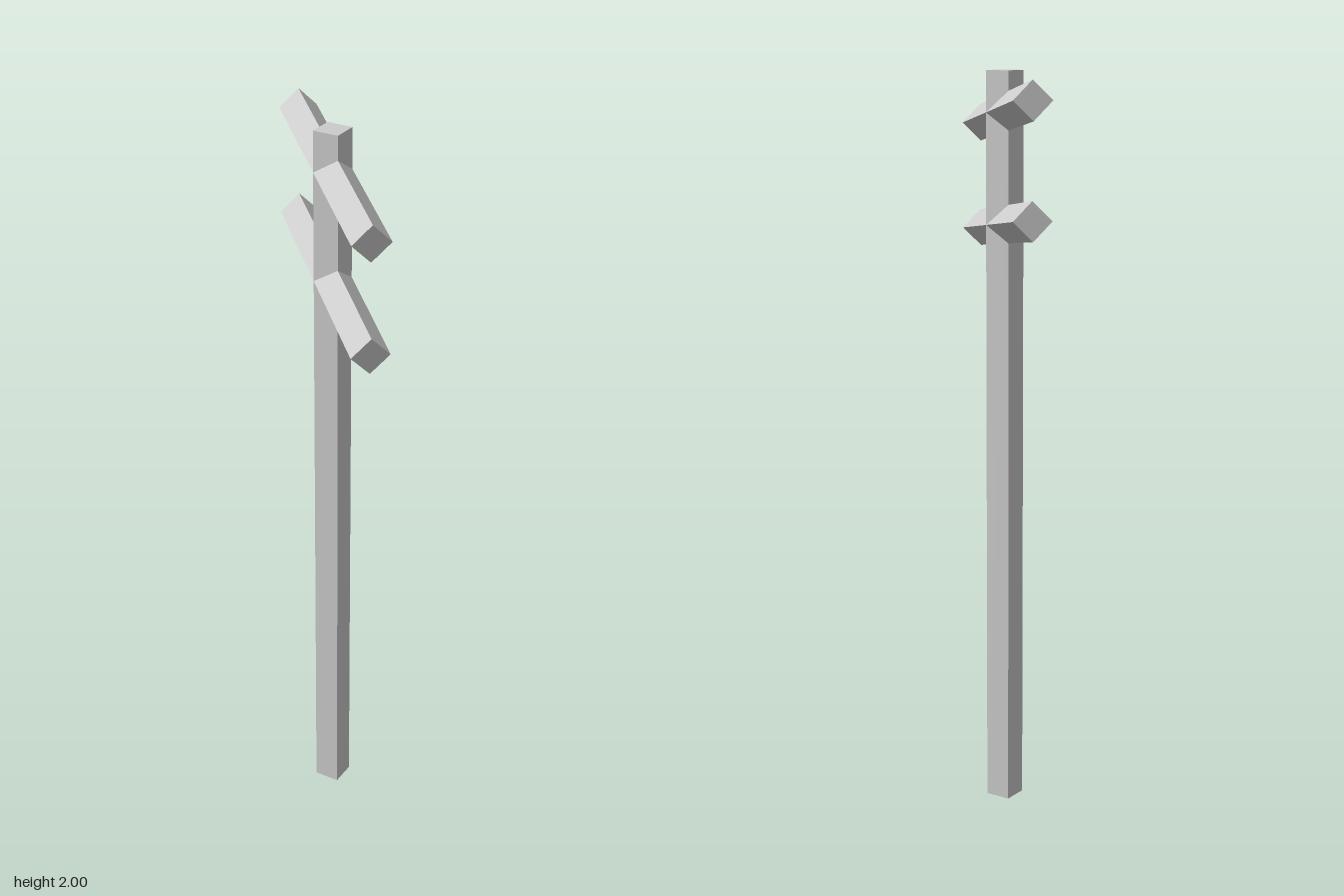
import * as THREE from 'three';

const RADIUS = 0.05;
const ARM_LENGTH = 0.724;
const ARM_TILT = THREE.MathUtils.degToRad(7);

export function createModel() {
  const group = new THREE.Group();
  const material = new THREE.MeshStandardMaterial({ color: 0xcccccc, flatShading: true });

  // Four-sided beam, edge on to the front
  const addBeam = (name, length, y, tilt = 0) => {
    const beam = new THREE.Mesh(new THREE.CylinderGeometry(RADIUS, RADIUS, length, 4), material);
    beam.name = name;
    beam.position.y = y;
    beam.rotation.x = tilt;
    group.add(beam);
  };

  // Upright post
  addBeam('post', 2, 1);

  // Crossarms along z, dipping towards the front
  addBeam('upperCrossarm', ARM_LENGTH, 1.892, Math.PI / 2 + ARM_TILT);
  addBeam('lowerCrossarm', ARM_LENGTH, 1.6, Math.PI / 2 + ARM_TILT);

  return group;
}
